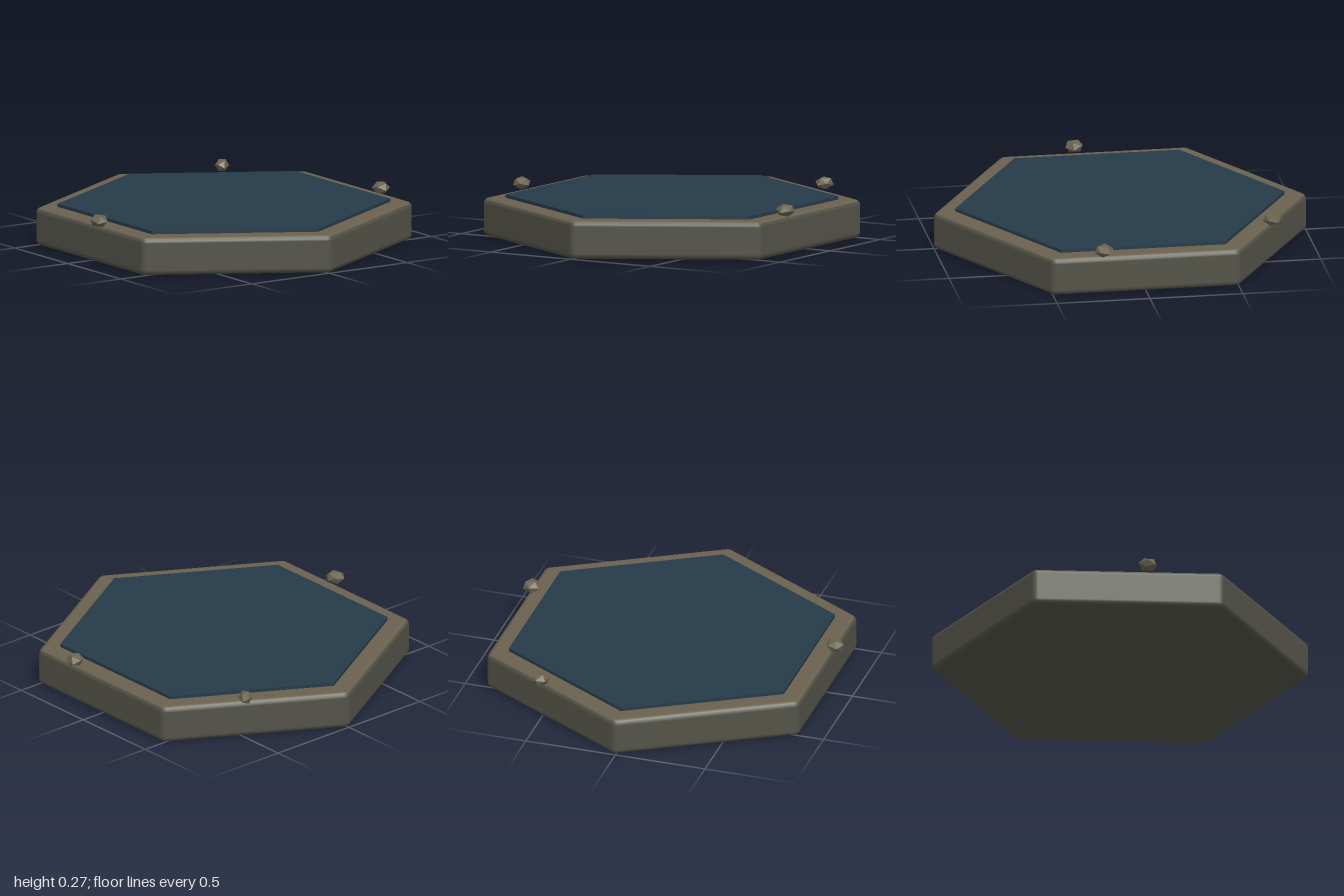
import * as THREE from 'three';

const mat = (name, color) => {
  const m = new THREE.MeshStandardMaterial({ color });
  m.name = name;
  return m;
};

const HEIGHT = 0.205, CORE = 0.96, ROUND = 0.04, BEVEL = 0.03, ARC = 4;

// Point and normal rings around a hexagon with rounded corners, joined in loops.
// Each profile entry is [core scale, corner radius, y, normal tilt in radians].
function hexSkin(profile) {
  const pos = [], nor = [], index = [], n = 6 * (ARC + 1);
  for (const [scale, r, y, tilt] of profile) {
    for (let k = 0; k < 6; k++) {
      const v = (k + 0.5) * Math.PI / 3;
      for (let j = 0; j <= ARC; j++) {
        const a = (k + j / ARC) * Math.PI / 3;
        pos.push(scale * CORE * Math.cos(v) + r * Math.cos(a), y, scale * CORE * Math.sin(v) + r * Math.sin(a));
        nor.push(Math.cos(a) * Math.cos(tilt), Math.sin(tilt), Math.sin(a) * Math.cos(tilt));
      }
    }
  }
  for (let s = 0; s < profile.length - 1; s++) {
    for (let i = 0; i < n; i++) {
      const lo = s * n + i, loNext = s * n + (i + 1) % n;
      index.push(lo, lo + n, loNext + n, lo, loNext + n, loNext);
    }
  }
  const g = new THREE.BufferGeometry();
  g.setAttribute('position', new THREE.Float32BufferAttribute(pos, 3));
  g.setAttribute('normal', new THREE.Float32BufferAttribute(nor, 3));
  g.setIndex(index);
  return g;
}

// One step of the rounded edge, at the given tilt in degrees
const edge = (deg) => {
  const t = deg * Math.PI / 180;
  const y = deg < 0 ? BEVEL + BEVEL * Math.sin(t) : HEIGHT - BEVEL + BEVEL * Math.sin(t);
  return [1, ROUND - BEVEL + BEVEL * Math.cos(t), y, t];
};

export function createModel() {
  const model = new THREE.Group();
  model.name = 'hexTile';
  const earth = mat('darkEarth', 0x535349);
  const sand = mat('sandyRim', 0x6a614f);
  const water = mat('deepWater', 0x263a48);
  const stone = mat('stone', 0x69624f);

  const add = (name, geometry, material, x, y, z) => {
    const mesh = new THREE.Mesh(geometry, material);
    mesh.name = name;
    mesh.position.set(x, y, z);
    model.add(mesh);
    return mesh;
  };

  // Underside, lower edge and walls
  const half = Math.PI / 2;
  add('tileBase', hexSkin([
    [0, 0, 0, -half], edge(-90), edge(-67.5), edge(-45), edge(-22.5),
    [1, ROUND, BEVEL, 0], edge(0), edge(22.5), edge(45),
  ]), earth, 0.007, 0, 0);

  // Upper edge and top face
  add('rim', hexSkin([edge(45), edge(67.5), edge(90), [0, 0, HEIGHT, half]]), sand, 0.007, 0, 0);

  // Sharp-edged water slab
  const slab = new THREE.CylinderGeometry(0.886, 0.886, 0.03, 6).toNonIndexed();
  slab.computeVertexNormals();
  add('waterSurface', slab, water, 0.007, 0.207, 0);

  // Squashed faceted stones on the rim: x, y, z, turn, size x, y, z
  const stones = [
    [-0.87, 0.235, 0.105, 0.4, 0.05, 0.036, 0.054],
    [0.862, 0.235, 0.226, 1.1, 0.054, 0.036, 0.05],
    [0.5, 0.237, -0.738, 0.9, 0.054, 0.036, 0.038],
  ];
  stones.forEach(([x, y, z, turn, sx, sy, sz], i) => {
    const g = new THREE.IcosahedronGeometry(1, 0);
    g.rotateX(0.55);
    g.scale(sx, sy, sz);
    g.computeVertexNormals();
    add('stone' + (i + 1), g, stone, x, y, z).rotation.y = turn;
  });

  return model;
}
